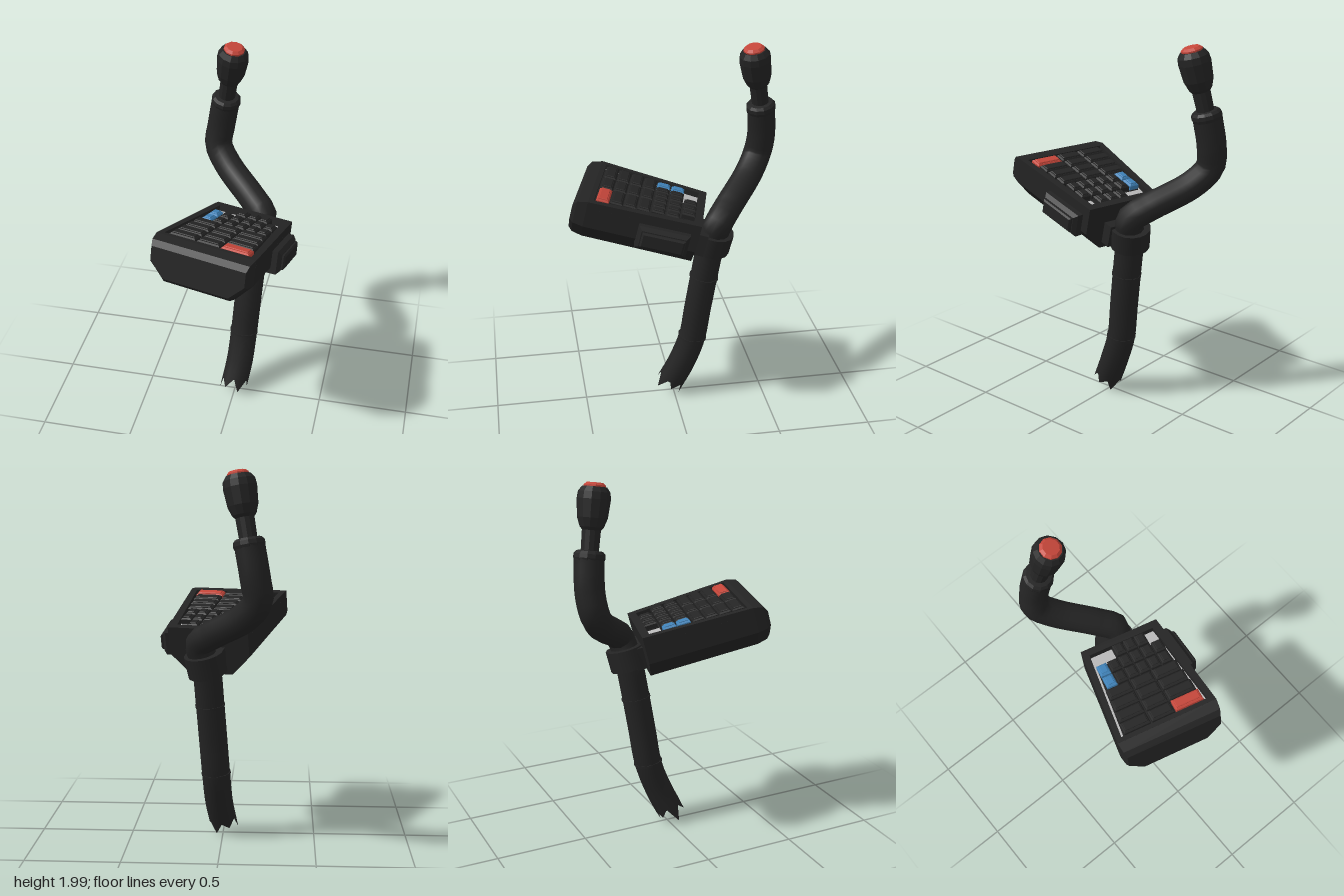
import * as THREE from 'three';

const mat = (name, color, side = THREE.FrontSide) => {
  const m = new THREE.MeshStandardMaterial({ color, side });
  m.name = name;
  return m;
};
const V = (x, y, z) => new THREE.Vector3(x, y, z);

export function createModel() {
  const model = new THREE.Group();
  const dark = mat('charcoal', 0x242424);
  const tubeMat = mat('tube charcoal', 0x242424, THREE.DoubleSide);
  const red = mat('red', 0xc4463a);
  const blue = mat('blue', 0x3f82b8);
  const grey = mat('light grey', 0xb8b8b8);

  const add = (parent, name, geo, material, x = 0, y = 0, z = 0) => {
    const m = new THREE.Mesh(geo, material);
    m.name = name;
    m.position.set(x, y, z);
    parent.add(m);
    return m;
  };
  const flat = (geo) => {
    const g = geo.index ? geo.toNonIndexed() : geo;
    g.computeVertexNormals();
    return g;
  };

  // Box with a bevelled top edge
  const bevelBox = (w, h, d, inset) => {
    const g = new THREE.BoxGeometry(w, h, d, 1, 2, 1);
    const p = g.attributes.position;
    for (let i = 0; i < p.count; i++) {
      if (p.getY(i) > h * 0.4) {
        p.setX(i, p.getX(i) - Math.sign(p.getX(i)) * inset);
        p.setZ(i, p.getZ(i) - Math.sign(p.getZ(i)) * inset);
      } else if (p.getY(i) > -h * 0.4) p.setY(i, h / 2 - inset);
    }
    return flat(g);
  };

  // Solid between six-sided sections, each given from back to front
  const loft = (sections) => {
    const pos = [], idx = [], last = (sections.length - 1) * 6;
    for (const { z, w, top, mid, b, bot } of sections)
      for (const [x, y] of [[w, top], [-w, top], [-w, mid], [-b, bot], [b, bot], [w, mid]]) pos.push(x, y, z);
    for (let s = 0; s < last; s += 6)
      for (let i = 0; i < 6; i++) {
        const j = (i + 1) % 6;
        idx.push(s + i, s + j, s + 6 + j, s + i, s + 6 + j, s + 6 + i);
      }
    for (let i = 1; i < 5; i++) idx.push(0, i + 1, i, last, last + i, last + i + 1);
    const g = new THREE.BufferGeometry();
    g.setAttribute('position', new THREE.Float32BufferAttribute(pos, 3));
    g.setIndex(idx);
    return flat(g);
  };

  // Flat trapezoid given as back and front edges, thickness downwards
  const outline = (T, [xl0, xr0, z0, xl1, xr1, z1]) => {
    const s = new T();
    s.moveTo(xl0, z0);
    s.lineTo(xr0, z0);
    s.lineTo(xr1, z1);
    s.lineTo(xl1, z1);
    s.closePath();
    return s;
  };
  const slab = (edge, depth, hole) => {
    const s = outline(THREE.Shape, edge);
    if (hole) s.holes.push(outline(THREE.Path, hole));
    return new THREE.ExtrudeGeometry(s, { depth, bevelEnabled: false }).rotateX(Math.PI / 2);
  };

  // Bent tube with a torn lower end
  const path = new THREE.CatmullRomCurve3([
    V(0.0, 0.07, 0.02), V(0.02, 0.2, -0.04), V(0.032, 0.37, -0.1), V(0.046, 0.57, -0.13),
    V(0.06, 0.77, -0.16), V(0.078, 0.98, -0.195), V(0.11, 1.1, -0.225), V(0.04, 1.16, -0.29),
    V(-0.13, 1.27, -0.435), V(-0.197, 1.36, -0.497), V(-0.185, 1.47, -0.513), V(-0.155, 1.64, -0.5),
  ], false, 'centripetal');
  const tube = new THREE.TubeGeometry(path, 48, 0.076, 12, false);
  const tp = tube.attributes.position;
  const tear = path.getTangentAt(0);
  const bite = [0.0, 0.06, -0.03, 0.05, -0.02, 0.03, -0.05, 0.06, 0.0, 0.04, -0.03, 0.05, 0.0];
  bite.forEach((d, j) => tp.setXYZ(j,
    tp.getX(j) + tear.x * d, tp.getY(j) + tear.y * d, tp.getZ(j) + tear.z * d));
  add(model, 'bentTube', tube, tubeMat);

  // Sleeves around the tube, aligned to its direction
  const up = V(0, 1, 0);
  const sleeve = (name, at, dir, r, h) => {
    const m = add(model, name, new THREE.CylinderGeometry(r, r, h, 16), dark, at.x, at.y, at.z);
    m.quaternion.setFromUnitVectors(up, dir.clone().normalize());
  };
  const rise = V(0.03, 0.4, -0.06);
  sleeve('lowerSeam', V(0.032, 0.38, -0.102), rise, 0.079, 0.012);
  sleeve('upperSeam', V(0.06, 0.765, -0.159), rise, 0.079, 0.012);
  sleeve('clampCollar', V(0.08, 0.995, -0.198), V(0.08, 0.4, -0.08), 0.105, 0.115);

  // Handle on the upper tube end
  const handle = new THREE.Group();
  handle.name = 'handle';
  handle.position.set(-0.155, 1.63, -0.5);
  handle.quaternion.setFromUnitVectors(up, V(0.062, 0.36, 0.065).normalize());
  model.add(handle);
  const lathe = (pts, n) => flat(new THREE.LatheGeometry(pts.map(([r, y]) => new THREE.Vector2(r, y)), n));
  add(handle, 'gripAndKnob', lathe([
    [0.076, -0.01], [0.08, 0.005], [0.078, 0.025], [0.066, 0.038], [0.045, 0.04], [0.047, 0.14],
    [0.06, 0.155], [0.076, 0.2], [0.084, 0.29], [0.08, 0.325], [0.062, 0.35], [0, 0.35],
  ], 12), dark);
  add(handle, 'topButton', lathe([[0.056, 0.345], [0.056, 0.358], [0.042, 0.37], [0, 0.37]], 10), red);

  // Tilted keypad; local origin is the middle of its upper back edge
  const pad = new THREE.Group();
  pad.name = 'keypad';
  pad.position.set(0.075, 1.17, -0.155);
  pad.rotation.set(-0.245, -0.245, 0, 'YXZ');
  model.add(pad);
  add(pad, 'housing', loft([
    { z: 0, w: 0.22, top: -0.035, mid: -0.15, b: 0.12, bot: -0.255 },
    { z: 0.59, w: 0.275, top: -0.035, mid: -0.14, b: 0.19, bot: -0.235 },
  ]), dark);
  add(pad, 'frontNose', loft([
    { z: 0.59, w: 0.275, top: 0, mid: -0.14, b: 0.19, bot: -0.235 },
    { z: 0.645, w: 0.268, top: -0.015, mid: -0.135, b: 0.185, bot: -0.225 },
    { z: 0.665, w: 0.26, top: -0.045, mid: -0.125, b: 0.18, bot: -0.205 },
  ]), dark);
  add(pad, 'rim', slab([-0.22, 0.22, 0, -0.275, 0.275, 0.592], 0.036,
    [-0.187, 0.18, 0.042, -0.243, 0.238, 0.566]), dark);
  add(pad, 'floor', slab([-0.19, 0.185, 0.04, -0.246, 0.242, 0.568], 0.006), grey, 0, -0.03, 0);
  add(pad, 'keyBed', slab([-0.182, 0.182, 0.117, -0.23, 0.228, 0.568], 0.006), dark, 0, -0.026, 0);
  add(pad, 'backKeyBed', slab([-0.064, 0.128, 0.04, -0.064, 0.128, 0.12], 0.006), dark, 0, -0.026, 0);
  add(pad, 'clampBlock', new THREE.BoxGeometry(0.2, 0.12, 0.06), dark, 0.01, -0.16, -0.025);

  // Keys: base with a raised cap
  const key = (name, x, z, w, d, material) => {
    add(pad, name, bevelBox(w, 0.034, d, 0.007), material, x, -0.013, z);
    add(pad, name + 'Cap', bevelBox(w - 0.02, 0.008, d - 0.02, 0.003), material, x, 0.006, z);
  };
  [0.077, 0.157, 0.235].forEach((z, row) => {
    for (let c = 0; c < 6; c++) {
      if (row === 0 && (c < 2 || c > 4)) continue;
      const special = row > 0 && c === 0;
      key(special ? 'blueKey' : 'smallKey', -0.157 + c * 0.063, z, 0.056, 0.07, special ? blue : dark);
    }
  });
  [0.311, 0.382, 0.453, 0.524].forEach((z, row) => {
    const s = 0.91 + row * 0.03;
    [[-0.148, 0.145], [-0.004, 0.125], [0.143, 0.152]].forEach(([x, w], c) => {
      const special = row === 3 && c === 2;
      key(special ? 'redKey' : 'wideKey', x * s, z, w * s, 0.066, special ? red : dark);
    });
  });

  // Raised pod on the left wall
  const pod = new THREE.Group();
  pod.name = 'sidePod';
  pod.position.set(0.235, -0.115, 0.18);
  pod.rotation.set(0, 0.09, -Math.PI / 2, 'YXZ');
  pad.add(pod);
  add(pod, 'podBase', bevelBox(0.125, 0.07, 0.27, 0.018), dark, 0, 0.015, 0);
  add(pod, 'podCover', bevelBox(0.08, 0.03, 0.225, 0.008), dark, 0, 0.052, 0);

  return model;
}
